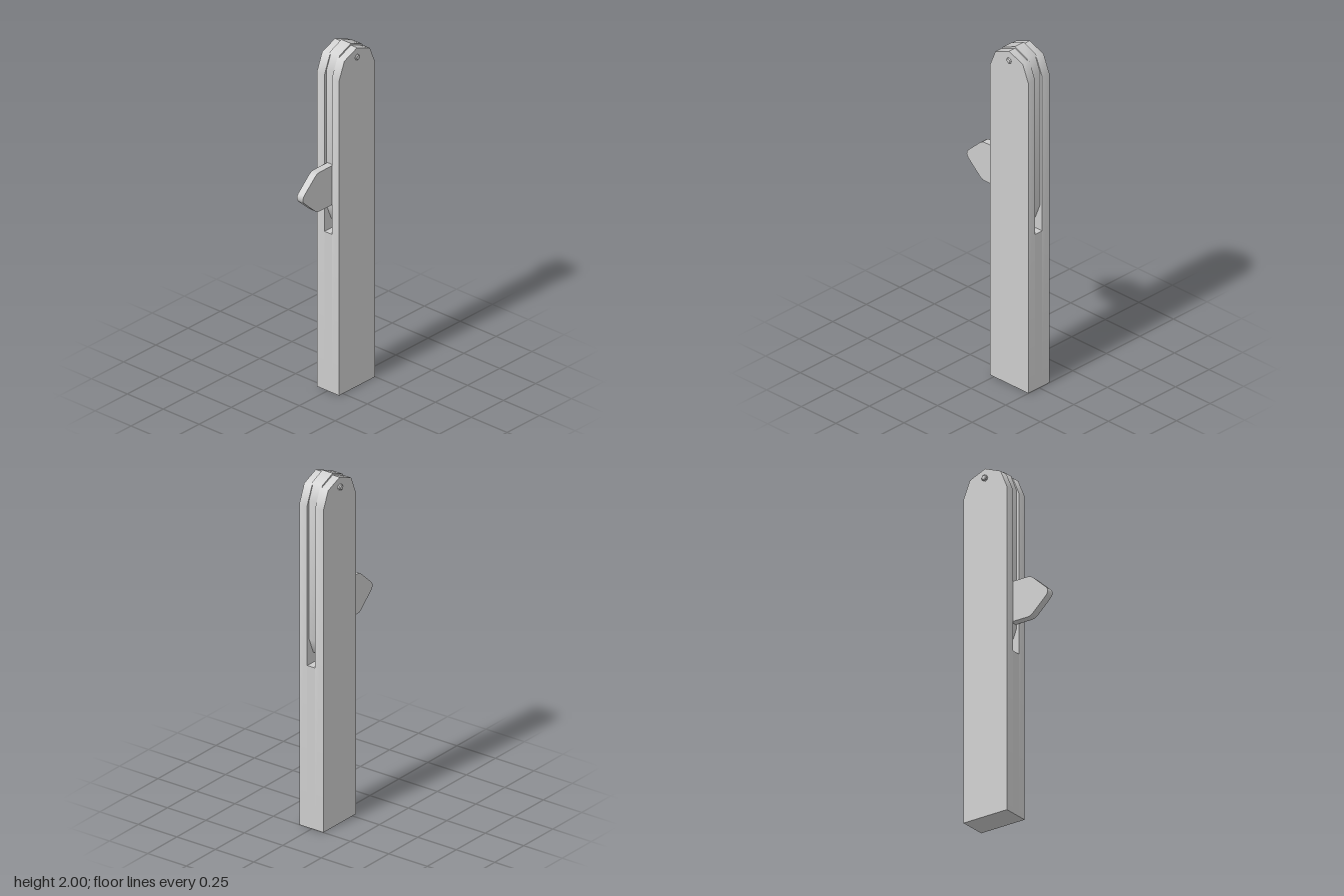
import * as THREE from 'three';
import { toCreasedNormals, mergeGeometries } from 'three/addons/utils/BufferGeometryUtils.js';

const grey = new THREE.MeshStandardMaterial({ color: 0xcccccc });
const MID_Z = -0.11; // centre line of the handle

// Extrudes a side profile of [z, y] points across x from x0 to x1
function slab(points, x0, x1) {
  const shape = new THREE.Shape(points.map(([z, y]) => new THREE.Vector2(z, y)));
  const geo = new THREE.ExtrudeGeometry(shape, { depth: x1 - x0, bevelEnabled: false });
  geo.rotateY(-Math.PI / 2);
  geo.translate(x1, 0, 0);
  return toCreasedNormals(geo, 0.9);
}

// Two mirrored halves of a profile meeting in a crisp ridge on the centre line
function ridged(half, x0, x1) {
  const place = (s) => half.map(([d, y]) => [MID_Z + s * d, y]);
  return mergeGeometries([slab(place(1), x0, x1), slab(place(-1).reverse(), x0, x1)]);
}

function add(group, name, geometry) {
  const mesh = new THREE.Mesh(geometry, grey);
  mesh.name = name;
  group.add(mesh);
  return mesh;
}

export function createModel() {
  const model = new THREE.Group();
  model.name = 'slottedHandle';

  // Handle: two full-height cheeks with chamfered tops, joined below the slot
  const cheek = [[0, 0], [0.14, 0], [0.14, 1.85], [0.099, 1.95], [0, 1.99]];
  add(model, 'rightCheek', ridged(cheek, -0.075, -0.022));
  add(model, 'leftCheek', ridged(cheek, 0.03, 0.08));
  const core = new THREE.BoxGeometry(0.052, 0.93, 0.28);
  core.translate(0.004, 0.465, MID_Z);
  add(model, 'handleCore', core);

  // Lever in the slot, slightly let into both cheeks, rounded at both ends
  const lever = [[0, 0.95], [0.088, 0.987], [0.123, 1.075], [0.123, 1.875], [0.088, 1.963], [0, 2]];
  add(model, 'lever', ridged(lever, -0.03, 0.037));

  // Pointed thumb tab sticking out of the front of the lever
  add(model, 'thumbTab', slab([
    [-0.05, 1.10], [0.12, 1.10], [0.138, 1.103], [0.155, 1.114], [0.24, 1.192], [0.248, 1.205],
    [0.25, 1.215], [0.248, 1.226], [0.24, 1.238], [0.155, 1.316], [0.138, 1.327], [0.12, 1.33], [-0.05, 1.33],
  ], -0.017, 0.025));

  // Pivot pin with bevelled ends
  const profile = [[0, -0.09], [0.012, -0.09], [0.017, -0.085], [0.017, 0.082], [0.012, 0.087], [0, 0.087]];
  const pin = new THREE.LatheGeometry(profile.map(([r, y]) => new THREE.Vector2(r, y)), 8);
  pin.rotateZ(-Math.PI / 2);
  pin.translate(0, 1.935, MID_Z);
  add(model, 'pivotPin', toCreasedNormals(pin, 0.6));

  return model;
}
